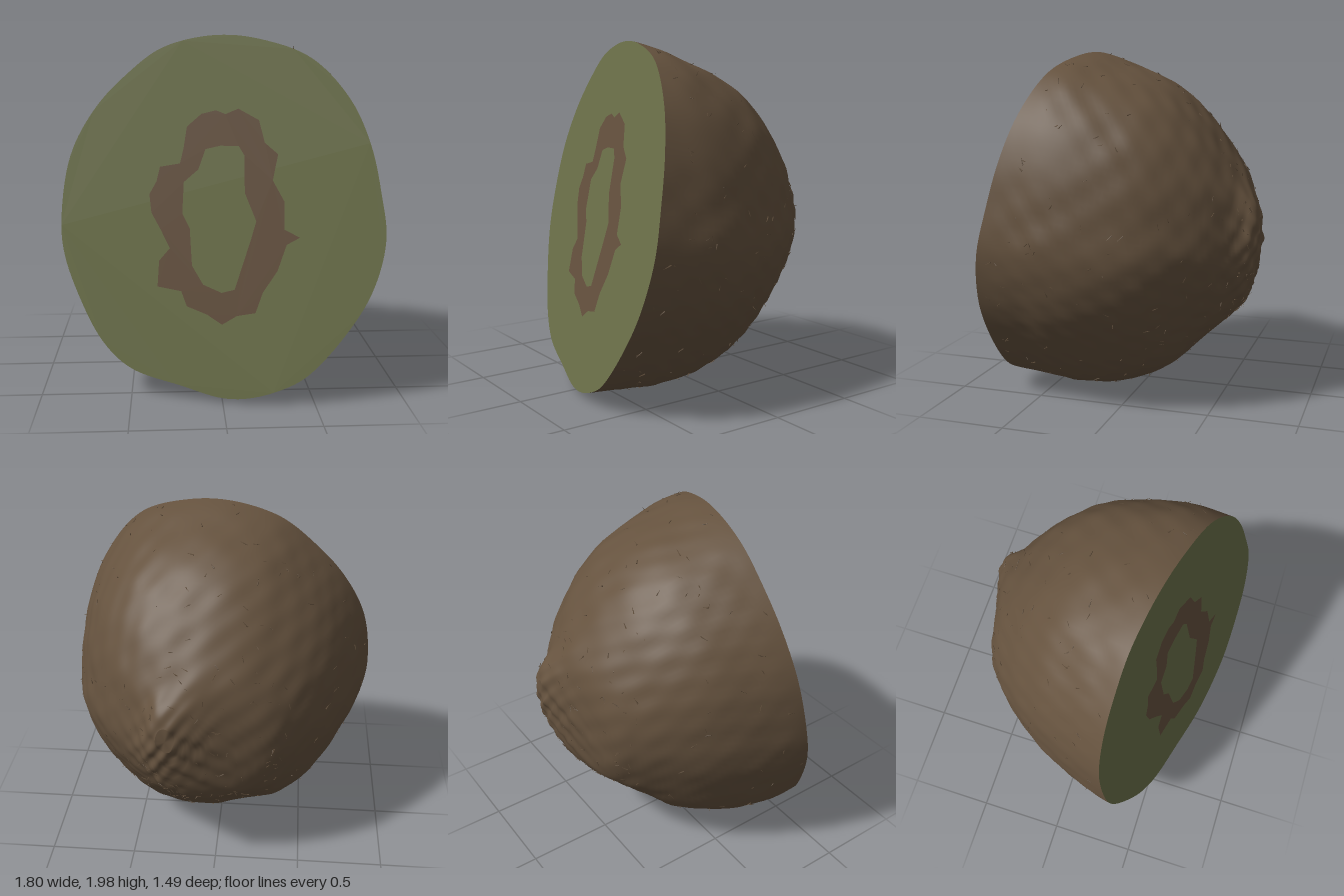
import * as THREE from 'three';
import { mergeGeometries } from 'three/addons/utils/BufferGeometryUtils.js';

const SEGMENTS = 144, RINGS = 56;

// Tilted cut plane of the halved fruit
const cutZ = (x, y) => 0.49 + 0.215 * x - 0.19 * (y - 1);
const toPoints = (list) => list.map(([x, y]) => new THREE.Vector2(x, y));

// Extents of the fruit along its depth: xMin, xMax, yMin, yMax
const depths = [-0.73, -0.7, -0.65, -0.6, -0.5, -0.4, -0.2, 0.1, 0.32, 0.5, 0.74];
const extents = [
  0.2, 0.3, 0.95, 1.1, 0.1, 0.36, 0.8, 1.17, -0.08, 0.40, 0.63, 1.25,
  -0.28, 0.45, 0.55, 1.33, -0.43, 0.57, 0.45, 1.47, -0.53, 0.66, 0.36, 1.6,
  -0.68, 0.79, 0.17, 1.79, -0.82, 0.88, 0.035, 1.93, -0.89, 0.9, 0.01, 2.0,
  -0.9, 0.885, 0.02, 2.01, -0.89, 0.865, 0.04, 2.0,
];
const extentAt = new THREE.CubicInterpolant(depths, extents, 4, new Float32Array(4));

// Slightly lumpy outline in a unit square, counter-clockwise from the model's left
const outline = new THREE.CatmullRomCurve3([
  [1, -0.1], [0.97, 0.15], [0.91, 0.4], [0.79, 0.64], [0.56, 0.86], [0.24, 0.97],
  [0, 1], [-0.23, 0.98], [-0.4, 0.93], [-0.57, 0.82], [-0.79, 0.62], [-0.95, 0.35],
  [-1, 0], [-0.98, -0.2], [-0.88, -0.45], [-0.73, -0.7], [-0.56, -0.84], [-0.24, -0.93],
  [0.02, -0.99], [0.2, -0.98], [0.4, -0.92], [0.53, -0.85], [0.75, -0.63], [0.92, -0.38],
].map(([x, y]) => new THREE.Vector3(x, y, 0)), true).getSpacedPoints(SEGMENTS).slice(0, SEGMENTS);

function surfacePoint(i, z) {
  const [x0, x1, y0, y1] = extentAt.evaluate(z);
  const p = outline[i];
  return new THREE.Vector3((x0 + x1 + (x1 - x0) * p.x) / 2, (y0 + y1 + (y1 - y0) * p.y) / 2, z);
}

// Where the skin meets the cut
const rim = outline.map((_, i) => {
  let z = 0.5;
  for (let k = 0; k < 12; k++) {
    const p = surfacePoint(i, z);
    z = cutZ(p.x, p.y);
  }
  return surfacePoint(i, z);
});

// Fine skin bumps, rougher around the stem scar
function roughness(p) {
  const fine = Math.sin(p.x * 23 + p.y * 9) * Math.sin(p.y * 27 - p.z * 11) * Math.sin(p.z * 25 + p.x * 7);
  const coarse = Math.sin(p.x * 51 + p.z * 17) * Math.sin(p.y * 47 + p.x * 13);
  const scar = Math.exp(-((p.x - 0.22) ** 2 + (p.y - 0.88) ** 2 + (p.z + 0.68) ** 2) / 0.07);
  return fine * 0.006 + coarse * 0.014 * scar;
}

function skinGeometry() {
  const positions = [], index = [];
  const middle = new THREE.Vector3(0.03, 1, 0.2);
  for (let j = 0; j <= RINGS; j++) {
    const s = Math.sin((j / RINGS) * Math.PI / 2);
    for (let i = 0; i < SEGMENTS; i++) {
      const p = surfacePoint(i, THREE.MathUtils.lerp(rim[i].z, -0.73, s));
      const out = p.clone().sub(middle).normalize();
      p.addScaledVector(out, roughness(p) * Math.min(1, j / 5));
      positions.push(p.x, p.y, p.z);
      if (j === RINGS) continue;
      const next = (i + 1) % SEGMENTS;
      const a = j * SEGMENTS + i, b = j * SEGMENTS + next;
      index.push(a, a + SEGMENTS, b, b, a + SEGMENTS, b + SEGMENTS);
    }
  }
  // Close the tip
  const tip = positions.length / 3;
  positions.push(0.25, 1.02, -0.732);
  for (let i = 0; i < SEGMENTS; i++) {
    index.push(RINGS * SEGMENTS + i, tip, RINGS * SEGMENTS + (i + 1) % SEGMENTS);
  }
  const g = new THREE.BufferGeometry();
  g.setAttribute('position', new THREE.Float32BufferAttribute(positions, 3));
  g.setIndex(index);
  g.computeVertexNormals();
  return g;
}

// Flat shape laid onto the cut plane
function onCut(shape, lift) {
  const g = new THREE.ShapeGeometry(shape);
  const p = g.attributes.position;
  for (let i = 0; i < p.count; i++) p.setZ(i, cutZ(p.getX(i), p.getY(i)) + lift);
  g.computeVertexNormals();
  return g;
}

// Short fuzz lying almost flat on the skin
function fuzzGeometry() {
  let seed = 7;
  const random = () => (seed = (seed * 16807) % 2147483647) / 2147483647;
  const hairs = [];
  const up = new THREE.Vector3(0, 1, 0);
  const middle = new THREE.Vector3(0.03, 1, 0.2);
  for (let n = 0; n < 260; n++) {
    const i = Math.floor(random() * SEGMENTS);
    const nearScar = n % 3 === 0;
    const z = nearScar ? -0.5 - random() * 0.2 : THREE.MathUtils.lerp(rim[i].z - 0.03, -0.6, random());
    const p = surfacePoint(i, z);
    const out = p.clone().sub(middle).normalize();
    const lean = new THREE.Vector3(random() - 0.5, random() - 0.5, random() - 0.5).multiplyScalar(2.5);
    const direction = lean.projectOnPlane(out).addScaledVector(out, 0.3).normalize();
    const hair = new THREE.ConeGeometry(0.004, 0.03 + random() * 0.02, 4);
    hair.applyQuaternion(new THREE.Quaternion().setFromUnitVectors(up, direction));
    hair.translate(p.x + out.x * 0.003, p.y + out.y * 0.003, p.z + out.z * 0.003);
    hairs.push(hair);
  }
  return mergeGeometries(hairs);
}

export function createModel() {
  const material = (name, color) => {
    const m = new THREE.MeshStandardMaterial({ color });
    m.name = name;
    return m;
  };
  const brown = material('skinBrown', 0x65523e);
  const green = material('fleshGreen', 0x6b7049);
  const ringBrown = material('seedRingBrown', 0x65513e);

  const group = new THREE.Group();
  group.name = 'halvedFruit';
  const add = (name, geometry, mat) => {
    const mesh = new THREE.Mesh(geometry, mat);
    mesh.name = name;
    group.add(mesh);
  };

  add('skin', skinGeometry(), brown);
  add('fuzz', fuzzGeometry(), brown);
  add('flesh', onCut(new THREE.Shape(rim.map((p) => new THREE.Vector2(p.x, p.y))), 0), green);

  // Ragged seed ring around the pale core
  const ring = new THREE.Shape(toPoints([
    [0.1, 1.6], [0.03, 1.57], [-0.02, 1.59], [-0.1, 1.57], [-0.18, 1.5], [-0.2, 1.38], [-0.22, 1.3],
    [-0.33, 1.28], [-0.35, 1.2], [-0.39, 1.13], [-0.38, 1.03], [-0.33, 0.94], [-0.28, 0.84],
    [-0.34, 0.77], [-0.35, 0.63], [-0.22, 0.61], [-0.19, 0.53], [-0.08, 0.49], [0, 0.44],
    [0.08, 0.49], [0.18, 0.51], [0.22, 0.62], [0.3, 0.74], [0.35, 0.88], [0.42, 0.92],
    [0.34, 0.96], [0.34, 1.11], [0.28, 1.22], [0.31, 1.36], [0.24, 1.42], [0.21, 1.54],
  ]));
  ring.holes.push(new THREE.Path(toPoints([
    [0, 1.4], [0.1, 1.4], [0.13, 1.35], [0.13, 1.15], [0.19, 1.0], [0.16, 0.9], [0.11, 0.75],
    [0.07, 0.63], [0, 0.61], [-0.1, 0.65], [-0.16, 0.75], [-0.17, 0.95], [-0.21, 1.03],
    [-0.2, 1.2], [-0.12, 1.27], [-0.08, 1.38],
  ])));
  add('seedRing', onCut(ring, 0.005), ringBrown);
  return group;
}
